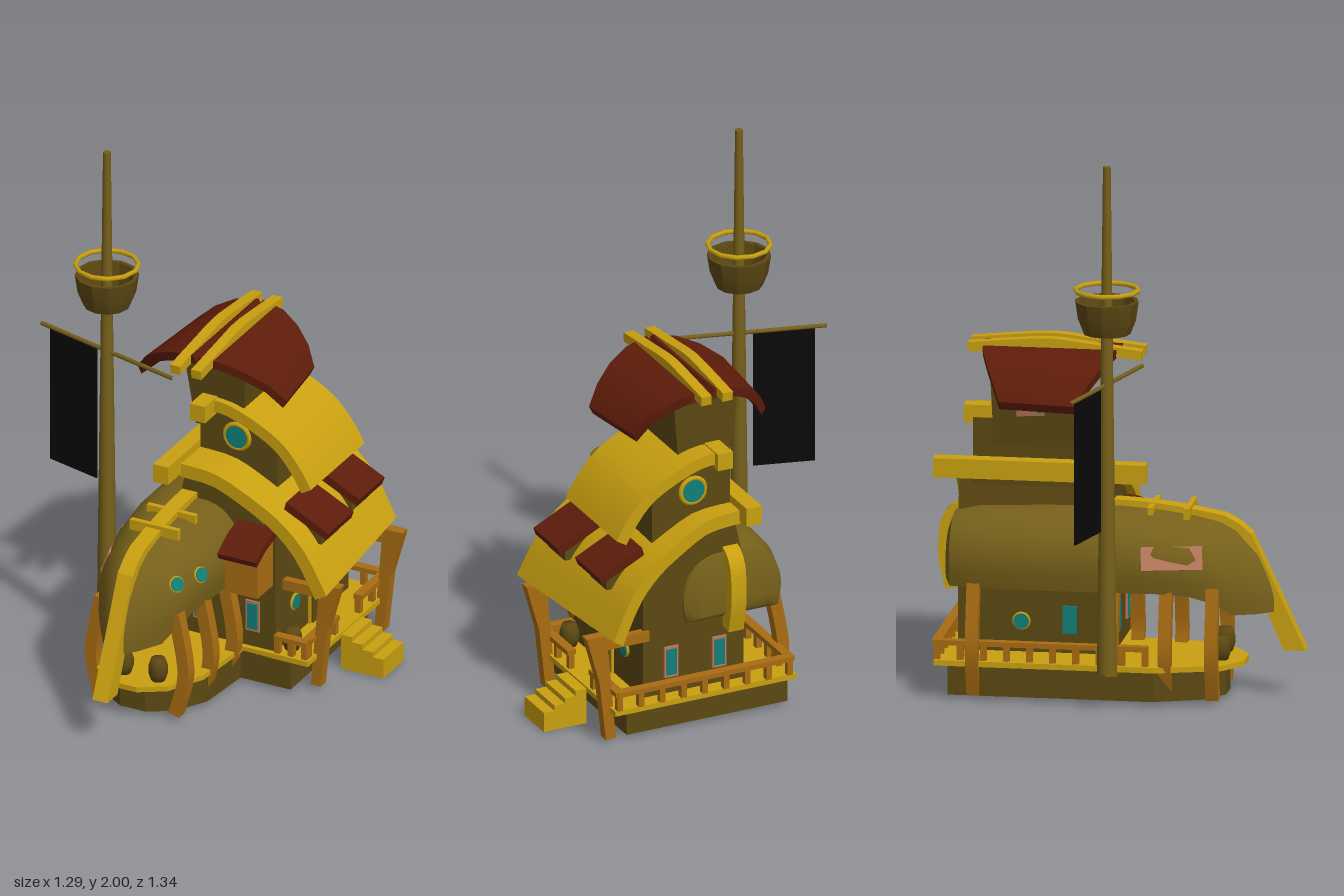
import * as THREE from 'three';
import { toCreasedNormals } from 'three/addons/utils/BufferGeometryUtils.js';

const mat = (color, extra = {}) => new THREE.MeshStandardMaterial({ color, ...extra });
const YELLOW = mat(0xc9a010), BROWN = mat(0x5c4812), HULL = mat(0x76601a), RED = mat(0x5e1c0a),
  ORANGE = mat(0xa96c12), TEAL = mat(0x108078), PINK = mat(0xb87a5c),
  BLACK = mat(0x090909, { side: THREE.DoubleSide });
const V2 = (x, y) => new THREE.Vector2(x, y);
const V3 = (x, y, z) => new THREE.Vector3(x, y, z);

export function createModel() {
  const root = new THREE.Group();
  const add = (name, geo, m, x = 0, y = 0, z = 0) => {
    const mesh = new THREE.Mesh(geo, m);
    mesh.name = name;
    mesh.position.set(x, y, z);
    root.add(mesh);
    return mesh;
  };
  // Box given by its extents
  const box = (name, m, x0, x1, y0, y1, z0, z1) =>
    add(name, new THREE.BoxGeometry(x1 - x0, y1 - y0, z1 - z0), m, (x0 + x1) / 2, (y0 + y1) / 2, (z0 + z1) / 2);
  const prism = (pts, depth) => new THREE.ExtrudeGeometry(
    new THREE.Shape(pts.map(p => V2(p[0], p[1]))), { depth, bevelEnabled: false });

  // Bent board: a smooth profile thickened on its right-hand side and extruded
  const board = (pts, thick, depth, n = 14) => {
    const curve = new THREE.SplineCurve(pts.map(p => V2(...p)));
    const outer = [], inner = [];
    for (let i = 0; i <= n; i++) {
      const p = curve.getPoint(i / n), t = curve.getTangent(i / n);
      outer.push([p.x, p.y]);
      inner.unshift([p.x + t.y * thick, p.y - t.x * thick]);
    }
    return toCreasedNormals(prism([...outer, ...inner], depth), 0.5);
  };

  // Solid through closed rings of equal length, wound outward
  const loft = (rings, crease = 0.6) => {
    const n = rings[0].length, idx = [], pts = rings.flat();
    for (let i = 0; i < rings.length - 1; i++)
      for (let j = 0; j < n; j++) {
        const a = i * n + j, b = i * n + (j + 1) % n;
        idx.push(a, b, b + n, a, b + n, a + n);
      }
    const last = (rings.length - 1) * n;
    for (let j = 1; j < n - 1; j++) idx.push(0, j + 1, j, last, last + j, last + j + 1);
    let vol = 0;
    for (let i = 0; i < idx.length; i += 3)
      vol += pts[idx[i]].dot(pts[idx[i + 1]].clone().cross(pts[idx[i + 2]]));
    if (vol < 0) idx.reverse();
    const g = new THREE.BufferGeometry().setFromPoints(pts);
    g.setIndex(idx);
    return toCreasedNormals(g, crease);
  };

  // Plinth and deck with a pointed bow
  const plan = [[-0.24, -0.59], [0.4, -0.59], [0.4, 0], [0.2, 0], [0.18, 0.22], [0.11, 0.34], [0.02, 0.39],
    [-0.08, 0.39], [-0.17, 0.33], [-0.24, 0.15]];
  add('plinth', prism(plan, 0.11).rotateX(Math.PI / 2), BROWN, 0, 0.13, 0);
  const deckPlan = plan.map(([x, z]) => [x > 0.3 ? 0.47 : x * 1.04, z < -0.5 ? -0.64 : z > 0.2 ? z * 1.17 : z]);
  add('deck', prism(deckPlan, 0.02).rotateX(Math.PI / 2), YELLOW, 0, 0.147, 0);

  // Lower house and its sweeping roof
  add('lowerHouse', prism([[-0.07, 0.13], [0.33, 0.13], [0.33, 0.61], [0.2, 0.7], [0.08, 0.76], [-0.035, 0.77], [-0.07, 0.6]], 0.56),
    BROWN, 0, 0, -0.58);
  const roofGeo = board([[-0.04, 0.82], [0.1, 0.81], [0.24, 0.75], [0.36, 0.68], [0.46, 0.58], [0.545, 0.43]], 0.052, 0.65);
  const rp = roofGeo.attributes.position;
  for (let i = 0; i < rp.count; i++) { // narrower towards the back, shorter at the ridge
    const x = rp.getX(i), k = rp.getZ(i) / 0.65;
    if (x > 0.1) rp.setX(i, 0.1 + (x - 0.1) * (0.86 + 0.14 * k));
    rp.setZ(i, 0.65 * k + (1 - k) * 0.04 * (1 - x / 0.5));
  }
  add('lowerRoof', roofGeo, YELLOW, 0, 0, -0.65);
  box('lowerRidgeBeam', YELLOW, -0.1, -0.04, 0.78, 0.85, -0.665, 0.1);

  // Upper house and roof
  add('upperHouse', prism([[-0.04, 0.72], [0.27, 0.6], [0.27, 0.89], [0.18, 0.95], [0.06, 0.99], [-0.04, 0.99]], 0.38),
    BROWN, 0, 0, -0.53);
  add('upperRoof', board([[-0.02, 1.03], [0.08, 1.025], [0.2, 0.98], [0.3, 0.92], [0.37, 0.84], [0.415, 0.765]], 0.045, 0.41),
    YELLOW, 0, 0, -0.54);
  box('upperRidgeBeam', YELLOW, -0.035, 0.025, 0.97, 1.035, -0.565, -0.06);

  // Flared top cabin with gabled top
  const rect = (x0, x1, y, z0, z1) => [V3(x0, y, z0), V3(x1, y, z0), V3(x1, y, z1), V3(x0, y, z1)];
  add('topCabin', loft([rect(-0.07, 0.12, 0.9, -0.45, -0.17), rect(-0.105, 0.147, 1.2, -0.46, -0.14),
    rect(-0.04, 0.08, 1.232, -0.47, -0.1)], 0.2), BROWN);
  // Swept roof wings and bent ridge beams
  for (const s of [-1, 1]) {
    const rings = [[0.01, 1.265, 0, -0.5], [0.1, 1.25, -0.02, -0.49], [0.18, 1.215, -0.05, -0.465],
      [0.25, 1.165, -0.09, -0.435], [0.3, 1.1, -0.125, -0.405]].map(([x, y, z0, z1]) => {
      const at = (d, h, z) => V3(0.02 + s * (x - d), y - h, z), back = 0.4 * x * x;
      return [at(0, 0, z1).setX(0.02 + s * (x - back)), at(0, 0, z0), at(0.015, 0.03, z0),
        at(0.015, 0.03, z1).setX(0.02 + s * (x - back - 0.015))];
    });
    add(s < 0 ? 'topRoofRight' : 'topRoofLeft', loft(rings, 0.4), RED);
    add('topRidgeBeam', board([[-0.55, 1.265], [-0.4, 1.28], [-0.25, 1.29], [-0.1, 1.275], [0.08, 1.255]], 0.035, 0.04)
      .rotateY(-Math.PI / 2), YELLOW, 0.04 + s * 0.042, 0, 0);
  }

  // Upturned hull, boxy astern and leaner towards the bow
  const stations = [[-0.61, 0.14, 0.6, 0.43], [-0.59, 0.19, 0.655, 0.41], [-0.5, 0.212, 0.675, 0.41], [-0.25, 0.218, 0.685, 0.41],
    [0, 0.213, 0.69, 0.41], [0.15, 0.205, 0.68, 0.41], [0.27, 0.185, 0.665, 0.4], [0.36, 0.16, 0.645, 0.37],
    [0.42, 0.13, 0.615, 0.325], [0.5, 0.075, 0.53, 0.32], [0.565, 0.018, 0.4, 0.32]];
  add('hull', loft(stations.map(([z, w, top, bot]) => Array.from({ length: 21 }, (_, i) => {
    const a = Math.PI * i / 20, c = Math.cos(a), t = Math.abs(Math.sin(a)) ** 0.8;
    const lean = 0.52 + 0.35 * THREE.MathUtils.smoothstep(z, 0, 0.35);
    return V3(-0.02 + w * Math.sign(c) * Math.abs(c) ** lean * (0.95 + 0.1 * Math.sin(Math.PI * t)), bot + (top - bot) * t, z);
  })), 0.8), HULL);
  const alongZ = geo => geo.rotateY(-Math.PI / 2);
  add('keel', alongZ(board([[-0.63, 0.36], [-0.655, 0.52], [-0.6, 0.67], [-0.3, 0.71], [0, 0.71], [0.2, 0.695],
    [0.38, 0.665]], 0.055, 0.06, 30)), YELLOW, 0.015, 0, 0);
  add('prow', alongZ(prism([[0.59, 0.18], [0.67, 0.18], [0.565, 0.405], [0.475, 0.6], [0.43, 0.638], [0.38, 0.665],
    [0.36, 0.615], [0.42, 0.58], [0.5, 0.4]], 0.06)), YELLOW, 0.015, 0, 0);
  for (const z of [0.12, 0.25]) box('keelStep', YELLOW, -0.11, 0.085, 0.66, 0.7, z - 0.01, z + 0.01);

  // Bowed hull legs
  const leg = (s, off, z) => {
    const pts = [[off, 0.02], [off + 0.035, 0.15], [off + 0.035, 0.25], [off, 0.43]];
    const path = s > 0 ? pts.slice().reverse() : pts.map(([x, y]) => [-x, y]);
    add('hullLeg', board(path, 0.045, 0.045, 10), ORANGE, -0.02, 0, z - 0.022);
  };
  for (const s of [-1, 1]) { leg(s, 0.17, 0.355); leg(s, 0.185, 0.19); }
  leg(1, 0.195, 0.03);
  leg(-1, 0.195, 0);
  leg(-1, 0.22, -0.5);

  // Porch posts and braces under the roof eaves
  for (const z of [-0.09, -0.575]) {
    add('porchPost', prism([[0.445, 0.02], [0.485, 0.02], [0.51, 0.25], [0.56, 0.43], [0.48, 0.43], [0.465, 0.25]], 0.04),
      ORANGE, 0, 0, z - 0.02);
    box('porchBeam', ORANGE, 0.31, 0.54, 0.37, 0.41, z - 0.015, z + 0.015);
  }

  // Deck railings
  const railing = (ax, az, bx, bz) => {
    const g = new THREE.Group(), len = Math.hypot(bx - ax, bz - az), n = Math.max(2, Math.round(len / 0.085));
    g.name = 'railing';
    g.position.set(ax, 0, az);
    g.rotation.y = Math.atan2(az - bz, bx - ax);
    const part = (w, h, d, x, y) => {
      const m = new THREE.Mesh(new THREE.BoxGeometry(w, h, d), ORANGE);
      m.position.set(x, y, 0);
      g.add(m);
    };
    part(len + 0.02, 0.018, 0.035, len / 2, 0.21);
    for (let i = 0; i <= n; i++) part(0.022, 0.06, 0.022, len * i / n, 0.175);
    root.add(g);
  };
  railing(-0.225, -0.63, 0.45, -0.63);
  railing(0.45, -0.63, 0.45, -0.43);
  railing(0.45, -0.24, 0.45, -0.04);
  railing(0.34, -0.02, 0.45, -0.02);
  railing(-0.225, -0.63, -0.225, 0.12);

  // Entrance stairs
  for (let i = 0; i < 4; i++)
    box('stair', YELLOW, 0.47, 0.64 - i * 0.042, 0.005, 0.08 + i * 0.02, -0.41, -0.255);

  // Arched door
  const arch = (w, h) => new THREE.Shape().moveTo(-w, 0).lineTo(w, 0).lineTo(w, h - w).absarc(0, h - w, w, 0, Math.PI).lineTo(-w, 0);
  for (const [name, w, h, d, m] of [['doorFrame', 0.04, 0.17, 0.012, YELLOW], ['door', 0.03, 0.158, 0.018, BROWN]])
    add(name, new THREE.ExtrudeGeometry(arch(w, h), { depth: d, bevelEnabled: false, curveSegments: 8 })
      .rotateY(Math.PI / 2), m, 0.328, 0.145, -0.308);

  // Portholes: glass disc and ring turned towards the given heading
  const porthole = (x, y, z, r, heading, tilt = 0) => {
    const g = new THREE.Group();
    g.name = 'porthole';
    g.add(new THREE.Mesh(new THREE.CylinderGeometry(r, r, 0.016, 18).rotateX(Math.PI / 2), TEAL),
      new THREE.Mesh(new THREE.TorusGeometry(r, r * 0.2, 6, 18), YELLOW));
    g.position.set(x, y, z);
    g.rotation.set(-tilt, heading, 0, 'YXZ');
    root.add(g);
  };
  const E = Math.PI / 2;
  for (const z of [-0.16, -0.44]) porthole(0.335, 0.285, z, 0.028, E);
  porthole(0.11, 0.9, -0.145, 0.048, 0);
  porthole(0.11, 0.9, -0.535, 0.048, Math.PI);
  porthole(0.17, 0.54, 0.25, 0.026, 1.3, 0.4);
  porthole(0.129, 0.54, 0.355, 0.026, 1.05, 0.4);
  porthole(-0.075, 0.26, -0.35, 0.028, -E);

  // Framed rectangular windows
  for (const [x, z] of [[0.03, -0.02], [0.24, -0.02], [0.03, -0.58], [0.22, -0.58]]) {
    box('windowFrame', PINK, x - 0.028, x + 0.028, 0.21, 0.33, z - 0.007, z + 0.007);
    box('windowGlass', TEAL, x - 0.02, x + 0.02, 0.22, 0.32, z - 0.011, z + 0.011);
  }
  box('sideWindow', TEAL, -0.08, -0.06, 0.22, 0.32, -0.2, -0.15);
  box('cabinWindow', TEAL, -0.108, -0.08, 1.03, 1.12, -0.35, -0.27);
  box('cabinShutter', PINK, -0.125, -0.108, 1.02, 1.12, -0.36, -0.26).rotation.set(0, 0.25, 0.3);
  box('hullHatch', PINK, -0.208, -0.188, 0.495, 0.58, 0.1, 0.32).rotation.set(0, 0.24, -0.35);

  // Roof dormers
  for (const [x, z] of [[0.455, -0.17], [0.43, -0.455]]) {
    add('dormer', prism([[x - 0.11, 0.57], [x + 0.015, 0.57], [x + 0.015, 0.64], [x - 0.11, 0.7]], 0.13), BROWN, 0, 0, z - 0.065);
    add('dormerRoof', prism([[x - 0.11, 0.725], [x + 0.06, 0.64], [x + 0.05, 0.612], [x - 0.118, 0.695]], 0.195), RED, 0, 0, z - 0.097);
  }
  add('frontDormer', alongZ(prism([[-0.03, 0.41], [0.1, 0.41], [0.1, 0.572], [0.055, 0.595], [-0.03, 0.615]], 0.13)),
    ORANGE, 0.32, 0, 0);
  add('frontDormerRoof', alongZ(prism([[-0.03, 0.645], [0.06, 0.62], [0.138, 0.575], [0.13, 0.553], [0.055, 0.59], [-0.03, 0.61]],
    0.155)), RED, 0.333, 0, 0);

  // Barrels
  const barrelProfile = [[0, 0], [0.026, 0], [0.035, 0.028], [0.035, 0.056], [0.026, 0.085], [0, 0.085]].map(p => V2(...p));
  for (const [x, z] of [[-0.075, 0.37], [0.06, 0.365], [-0.14, -0.02], [0.37, -0.07]])
    add('barrel', new THREE.LatheGeometry(barrelProfile, 12), BROWN, x, 0.147, z);

  // Mast, lookout and flag
  add('mast', new THREE.CylinderGeometry(0.014, 0.036, 1.855, 12), HULL, -0.338, 1.0725, 0);
  const nest = [[0, 1.39], [0.085, 1.39], [0.105, 1.44], [0.115, 1.51], [0.1, 1.51], [0.085, 1.42], [0, 1.42]].map(p => V2(...p));
  add('lookout', toCreasedNormals(new THREE.LatheGeometry(nest, 12), 0.4), BROWN, -0.338, 0, 0);
  add('lookoutRing', new THREE.TorusGeometry(0.113, 0.009, 6, 12).rotateX(E), YELLOW, -0.338, 1.548, 0);
  const yard = new THREE.LineCurve3(V3(-0.645, 1.2, -0.085), V3(-0.03, 1.2, 0.078));
  add('yard', new THREE.TubeGeometry(yard, 1, 0.008, 8), HULL);
  const flag = add('flag', new THREE.BoxGeometry(0.225, 0.525, 0.006), BLACK, -0.495, 0.935, -0.045);
  flag.rotation.y = -Math.atan2(0.163, 0.615);
  return root;
}
